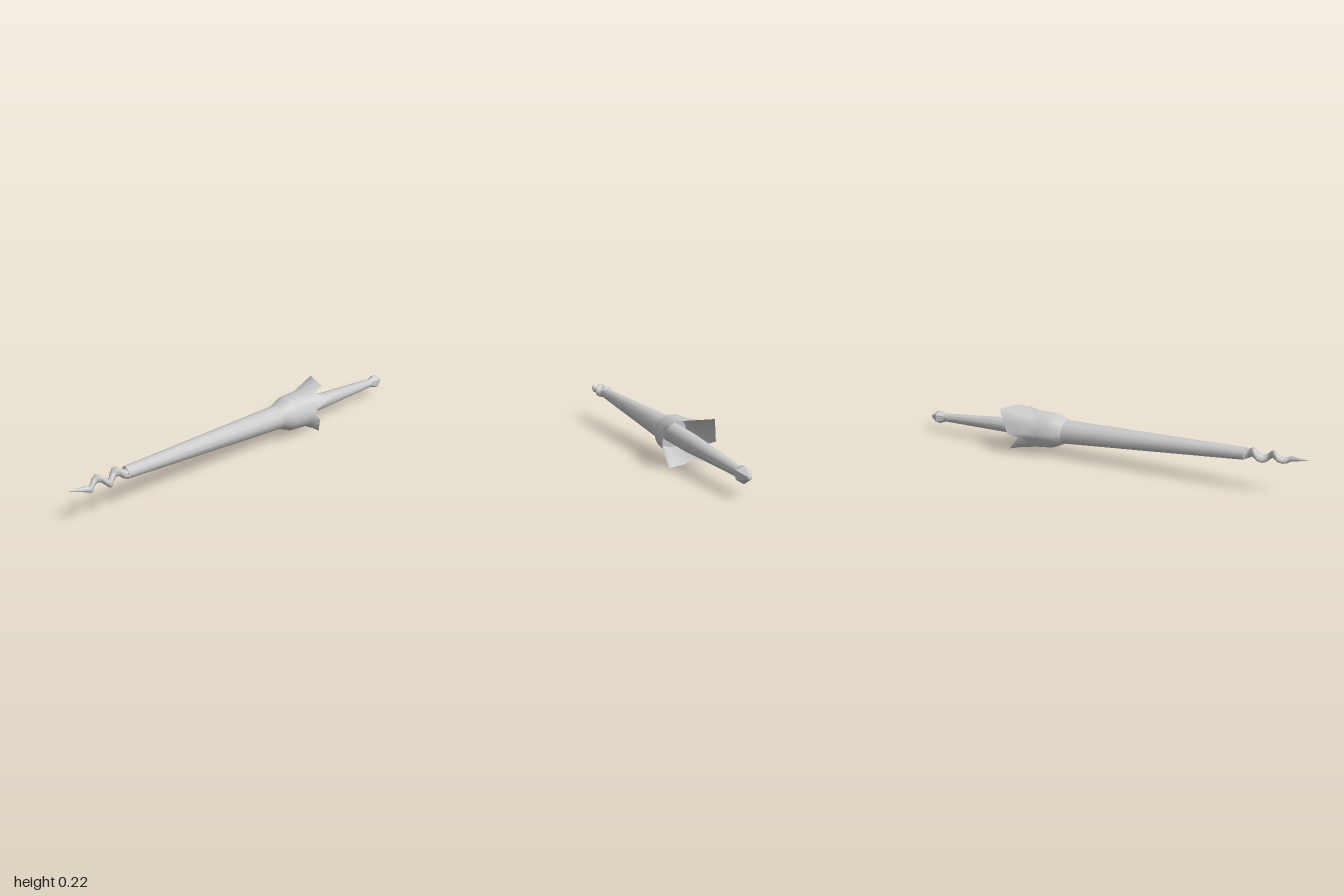
import * as THREE from 'three';

const grey = new THREE.MeshStandardMaterial({ color: 0xcccccc });
const facetedGrey = new THREE.MeshStandardMaterial({ color: 0xcccccc, flatShading: true });
const thinGrey = new THREE.MeshStandardMaterial({ color: 0xcccccc, side: THREE.DoubleSide });

// Leans the z axis so that the lance rises and drifts to its left toward the tip
const lean = new THREE.Matrix4().set(
  1, 0, 0.09, 0.022,
  0, 1, 0.053, 0.14,
  0, 0, 1, 0,
  0, 0, 0, 1);

function part(name, geometry, material) {
  const mesh = new THREE.Mesh(geometry.applyMatrix4(lean), material);
  mesh.name = name;
  return mesh;
}

// Turned shape around z from [radius, z] pairs, running back to front
function turned(profile, sides) {
  const points = profile.map(([r, z]) => new THREE.Vector2(r, z));
  return new THREE.LatheGeometry(points, sides).rotateX(Math.PI / 2);
}

// Skins equal-length closed rings of Vector3 that run back to front, counter-clockwise seen from +z
function skin(rings) {
  const n = rings[0].length;
  const index = [];
  for (let i = 0; i < rings.length - 1; i++) {
    for (let j = 0; j < n; j++) {
      const a = i * n + j, b = i * n + (j + 1) % n;
      index.push(a, b, b + n, a, b + n, a + n);
    }
  }
  const geometry = new THREE.BufferGeometry().setFromPoints(rings.flat());
  geometry.setIndex(index);
  geometry.computeVertexNormals();
  return geometry;
}

function polar(degrees, r, z) {
  const a = THREE.MathUtils.degToRad(degrees);
  return new THREE.Vector3(Math.cos(a) * r, Math.sin(a) * r, z);
}

// Open hand guard with four torn, flared flaps
function guardGeometry() {
  // Rim corners: angle, radius, z
  const corners = [
    [-2, 0.1, -0.38], [14, 0.1, -0.39], [33, 0.135, -0.47], [60, 0.105, -0.41],
    [72, 0.112, -0.48], [126, 0.142, -0.51], [180, 0.117, -0.45], [193, 0.1, -0.4],
    [215, 0.14, -0.44], [237, 0.106, -0.43], [250, 0.1, -0.38], [274, 0.108, -0.4],
    [306, 0.141, -0.42], [342, 0.114, -0.4],
  ];
  const angles = [], rim = [];
  corners.forEach(([angle, r, z], i) => {
    const next = corners[(i + 1) % corners.length];
    const span = (next[0] - angle + 360) % 360;
    const steps = span > 24 ? 2 : 1;
    const start = polar(angle, r, z), end = polar(...next);
    for (let k = 0; k < steps; k++) {
      angles.push(angle + span * k / steps);
      rim.push(start.clone().lerp(end, k / steps));
    }
  });
  const body = [[0.094, -0.36], [0.09, -0.3], [0.087, -0.25], [0.076, -0.22], [0.06, -0.185]];
  return skin([rim, ...body.map(([r, z]) => angles.map(a => polar(a, r, z)))]);
}

// Corkscrew point: a tapering tube whose centre winds around the axis
function twistGeometry() {
  const sides = 8, steps = 14, rings = [];
  for (let i = 0; i <= steps; i++) {
    const z = 0.71 + 0.21 * i / steps;
    const turn = (z - 0.765) / 0.095 * Math.PI * 2;
    const swing = 0.02 * Math.min(1, i / 3) * (i > 11 ? 0.75 : 1);
    const u = Math.cos(turn) * swing, v = Math.sin(turn) * swing * 0.6;
    const centre = new THREE.Vector3((-u - v) * 0.71, (u - v) * 0.71, 0);
    const r = THREE.MathUtils.lerp(0.024, 0.015, i / steps);
    rings.push(Array.from({ length: sides }, (_, j) => polar(j * 360 / sides, r, z).add(centre)));
  }
  rings.push(Array.from({ length: sides }, () => new THREE.Vector3(-0.007, 0.005, 1)));
  return skin(rings);
}

export function createModel() {
  const lance = new THREE.Group();
  lance.name = 'lance';
  lance.add(
    part('pommel', turned([[0, -1], [0.008, -0.998], [0.037, -0.952], [0.023, -0.91], [0, -0.9]], 6), facetedGrey),
    part('handle', turned([[0.022, -0.925], [0.043, -0.45], [0.046, -0.22]], 10), grey),
    part('handGuard', guardGeometry(), thinGrey),
    part('guardFloor', new THREE.CircleGeometry(0.075, 16).translate(0, 0, -0.225), thinGrey),
    part('shaft', turned([[0.064, -0.22], [0.06, -0.185], [0.029, 0.72]], 12), grey),
    part('shaftEnd', new THREE.CircleGeometry(0.029, 12).translate(0, 0, 0.72), grey),
    part('twistedPoint', twistGeometry(), grey),
  );
  return lance;
}
